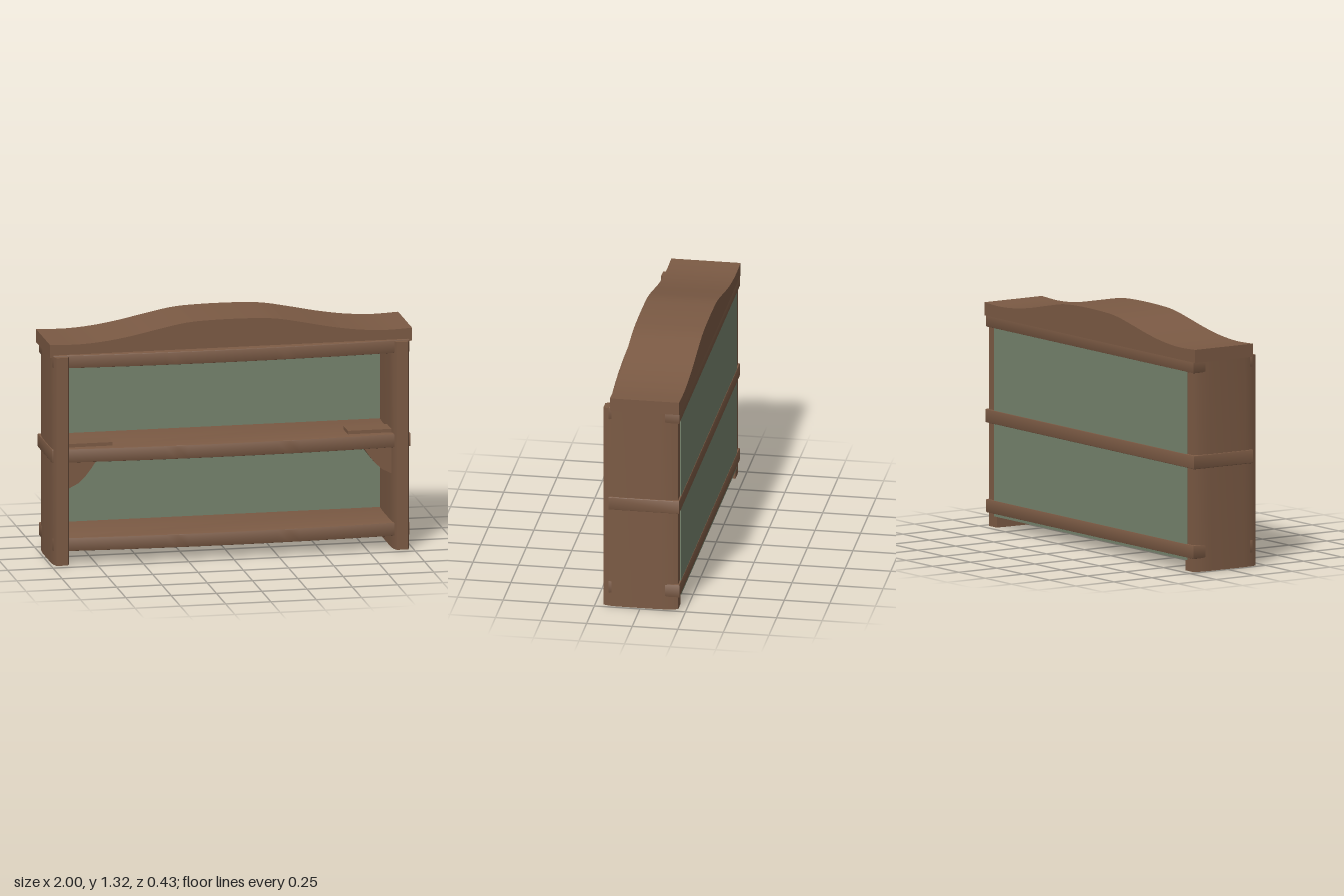
import * as THREE from 'three';
import { toCreasedNormals } from 'three/addons/utils/BufferGeometryUtils.js';

const wood = new THREE.MeshStandardMaterial({ color: 0x7b5a44 });
wood.name = 'brown wood';
const paint = new THREE.MeshStandardMaterial({ color: 0x75836d });
paint.name = 'sage green paint';

const shapeOf = (points) => new THREE.Shape(points.map(([x, y]) => new THREE.Vector2(x, y)));

function addMesh(group, name, geometry, material) {
  const mesh = new THREE.Mesh(geometry, material);
  mesh.name = name;
  group.add(mesh);
  return mesh;
}

// Extrudes an outline of [x, z] points upward from y0 to y1, with an optional small bevel
function planSlab(points, y0, y1, bevel = 0) {
  const geometry = new THREE.ExtrudeGeometry(shapeOf(points.map(([x, z]) => [x, -z])), {
    depth: y1 - y0 - 2 * bevel,
    bevelEnabled: bevel > 0, bevelSize: bevel, bevelThickness: bevel,
    bevelOffset: -bevel, bevelSegments: 2,
  });
  geometry.rotateX(-Math.PI / 2).translate(0, y0 + bevel, 0);
  return toCreasedNormals(geometry, 0.5);
}

// Extrudes an outline of [x, y] points from z0 to z1
function frontSlab(points, z0, z1) {
  const geometry = new THREE.ExtrudeGeometry(shapeOf(points), { depth: z1 - z0, bevelEnabled: false });
  geometry.translate(0, 0, z0);
  return toCreasedNormals(geometry, 0.5);
}

export function createModel() {
  const group = new THREE.Group();

  // Crown with a wavy top
  const half = [[1, 1.222], [0.85, 1.217], [0.7, 1.227], [0.55, 1.25], [0.4, 1.281], [0.25, 1.309], [0.1, 1.318]];
  const wave = [...half, ...half.map(([x, y]) => [-x, y]).reverse()];
  const curve = new THREE.SplineCurve(wave.map(([x, y]) => new THREE.Vector2(x, y)));
  const top = curve.getPoints(72).map((p) => [p.x, p.y]);
  addMesh(group, 'crown', frontSlab([[-1, 1.15], [1, 1.15], ...top], -0.215, 0.165), wood);

  // Shelves with a bowed front, their ends running through the side panels
  const shelves = [['bottomShelf', 0.073, 0.147, 0.983], ['middleShelf', 0.565, 0.64, 0.99], ['topShelf', 1.09, 1.162, 0.983]];
  for (const [name, y0, y1, w] of shelves) {
    const outline = [[w, -0.214], [-w, -0.214]];
    for (let i = 0; i <= 32; i++) {
      const x = -w + (2 * w * i) / 32;
      outline.push([x, 0.215 - 0.042 * x * x]);
    }
    addMesh(group, name, planSlab(outline, y0, y1, 0.005), wood);
  }

  // Painted back panel
  const back = addMesh(group, 'backPanel', new THREE.BoxGeometry(1.83, 1.08, 0.02), paint);
  back.position.set(0, 0.6, -0.201);

  for (const [side, s] of [['left', 1], ['right', -1]]) {
    // Side panel, slightly bulged outward and tapered at the front
    const plan = [[0.895, -0.205], [0.968, -0.205], [0.98, -0.17], [0.986, -0.1], [0.986, 0.12],
      [0.982, 0.17], [0.97, 0.205], [0.908, 0.205], [0.894, 0.17], [0.89, 0.1], [0.89, -0.1]];
    addMesh(group, side + 'SidePanel', planSlab(plan.map(([x, z]) => [s * x, z]), 0, 1.155), wood);

    // Curved bracket below the middle shelf
    const bracket = [[0.91, 0.41], [0.91, 0.6], [0.72, 0.6], [0.735, 0.565], [0.765, 0.519],
      [0.8, 0.474], [0.84, 0.437], [0.89, 0.412]];
    addMesh(group, side + 'Bracket', frontSlab(bracket.map(([x, y]) => [s * x, y]), 0.02, 0.14), wood);

    // Flat plate above the bracket
    const plate = addMesh(group, side + 'BracketPlate', new THREE.BoxGeometry(0.25, 0.03, 0.12), wood);
    plate.position.set(s * 0.775, 0.644, 0.08);
  }
  return group;
}
